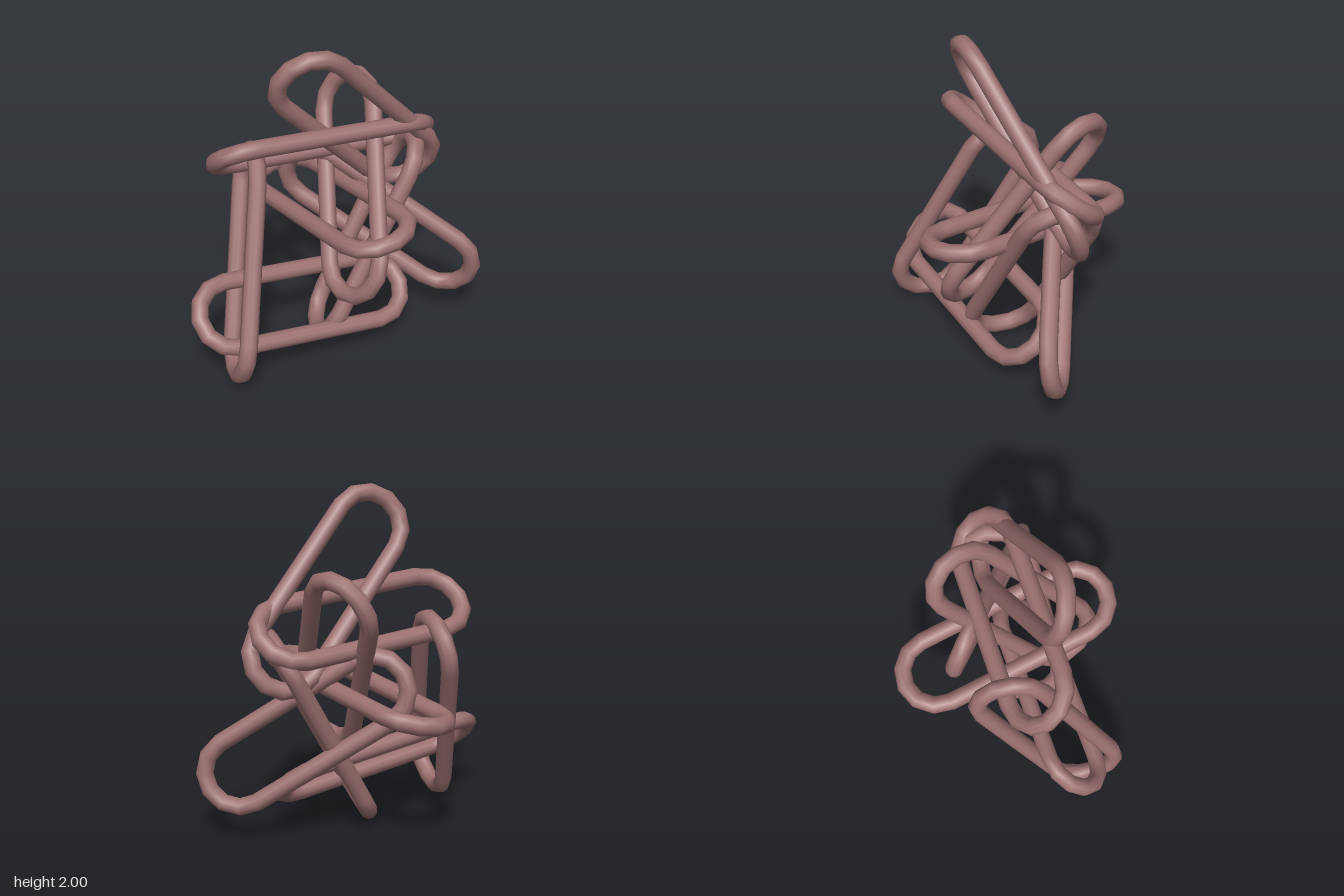
import * as THREE from 'three';

const BEND = 0.2;      // radius of the rounded ends
const HALF = 0.46;     // half length of the straight bars
const WIRE = 0.052;    // wire radius
const ARC = 6;         // segments in each rounded end
const SIDES = 10;      // sides of the wire

// One chain link: a torus whose two halves are pulled apart along x
function linkGeometry() {
  const rings = 2 * (ARC + 1);
  const geo = new THREE.TorusGeometry(BEND, WIRE, SIDES, rings);
  const pos = geo.attributes.position, nor = geo.attributes.normal;
  for (let j = 0; j <= SIDES; j++) {
    const b = (j / SIDES) * Math.PI * 2;
    for (let i = 0; i <= rings; i++) {
      const k = i % rings;
      const right = k <= ARC;
      const step = right ? k : k - 1; // the straight bar joins two rings of equal angle
      const a = -Math.PI / 2 + (step / ARC) * Math.PI;
      const r = BEND + WIRE * Math.cos(b);
      const n = j * (rings + 1) + i;
      pos.setXYZ(n, r * Math.cos(a) + (right ? HALF : -HALF), r * Math.sin(a), WIRE * Math.sin(b));
      nor.setXYZ(n, Math.cos(b) * Math.cos(a), Math.cos(b) * Math.sin(a), Math.sin(b));
    }
  }
  return geo;
}

// name, centre, long axis, direction across the link
const LINKS = [
  ['topLink', [0.217, 1.445, 0.155], [0.7, -0.7, 0.135], [0.53, 0.62, 0.6]],
  ['upperLevelLink', [0.107, 1.285, -0.015], [0.915, -0.06, 0.393], [-0.27, 0.63, 0.73]],
  ['leaningSideLink', [-0.405, 0.653, -0.165], [0.395, 0.877, -0.275], [-0.45, 0.39, 0.77]],
  ['bottomLink', [-0.153, 0.352, 0.065], [0.917, -0.1, 0.385], [0.36, 0.68, -0.69]],
  ['steepLink', [0.3, 0.65, 0.158], [0.484, 0.864, 0.138], [0.55, -0.18, -0.8]],
  ['uprightLink', [0.217, 1.02, 0.115], [0.42, 0.8, -0.42], [0.05, 0.43, 0.87]],
  ['flatCrossLink', [0.157, 0.877, -0.01], [0.26, -0.1, -0.96], [0.95, 0.17, 0.24]],
  ['slopingLink', [0.477, 0.672, 0.132], [0.43, -0.55, 0.72], [0.12, 0.8, 0.54]],
];

export function createModel() {
  const model = new THREE.Group();
  model.name = 'chainTangle';
  const material = new THREE.MeshStandardMaterial({ color: 0x9c7070 });
  const geometry = linkGeometry();

  for (const [name, centre, along, across] of LINKS) {
    const link = new THREE.Mesh(geometry, material);
    link.name = name;
    const u = new THREE.Vector3(...along).normalize();
    const n = u.clone().cross(new THREE.Vector3(...across)).normalize();
    const v = n.clone().cross(u);
    link.quaternion.setFromRotationMatrix(new THREE.Matrix4().makeBasis(u, v, n));
    link.position.set(...centre);
    model.add(link);
  }
  return model;
}
